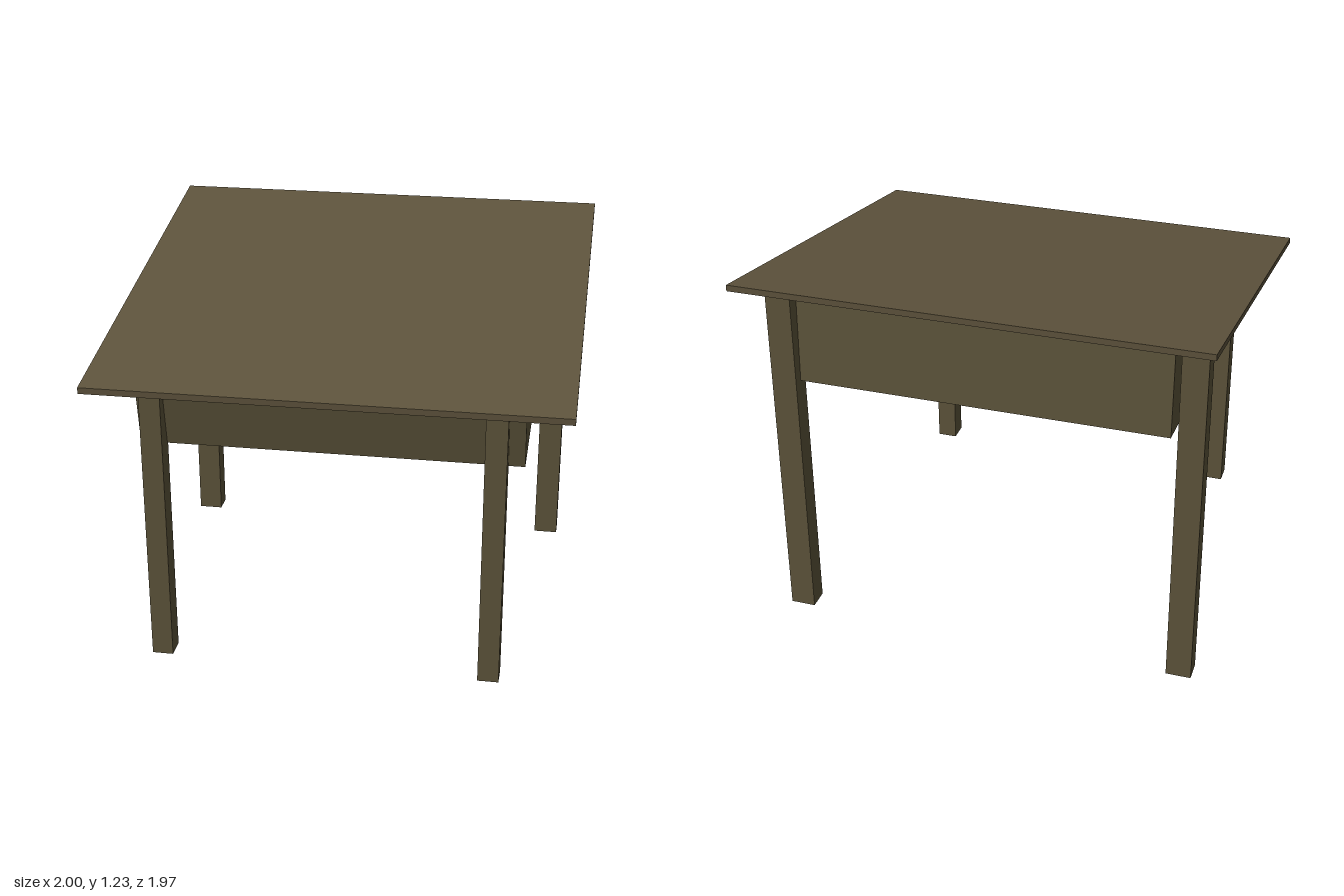
import * as THREE from 'three';

const topWood = new THREE.MeshStandardMaterial({ color: 0x5f543d });
topWood.name = 'top wood';
const frameWood = new THREE.MeshStandardMaterial({ color: 0x5f563c, side: THREE.DoubleSide });
frameWood.name = 'frame wood';

// Height of the sloping underside at depth z
const under = z => 1.0875 - 0.179 * z;

// Solid with a side profile of [z, y] points, spanning x0 to x1
function prism(name, points, x0, x1, material) {
  const shape = new THREE.Shape(points.map(p => new THREE.Vector2(p[0], p[1])));
  const geometry = new THREE.ExtrudeGeometry(shape, { depth: x1 - x0, bevelEnabled: false });
  geometry.rotateY(-Math.PI / 2).translate(x1, 0, 0);
  const mesh = new THREE.Mesh(geometry, material);
  mesh.name = name;
  return mesh;
}

// Upright post cut to the slope of the top
function leg(name, x, z, w, d, foot) {
  const a = z - d / 2, b = z + d / 2;
  return prism(name, [[a, foot], [b, foot], [b, under(b)], [a, under(a)]], x - w / 2, x + w / 2, frameWood);
}

export function createModel() {
  const group = new THREE.Group();
  group.name = 'slantedTable';
  const table = new THREE.Group();
  table.name = 'table';
  table.rotation.y = 0.612;
  group.add(table);

  // Sloping board
  const e = 0.685, t = 0.02;
  table.add(prism('tabletop',
    [[-e, under(-e)], [e, under(e)], [e, under(e) + t], [-e, under(-e) + t]], -0.74, 0.74, topWood));

  // Legs: the back pair is wider set and longer
  table.add(
    leg('backLegRight', -0.663, -0.543, 0.081, 0.068, 0),
    leg('backLegLeft', 0.631, -0.543, 0.081, 0.068, 0),
    leg('frontLegRight', -0.544, 0.575, 0.067, 0.069, 0.035),
    leg('frontLegLeft', 0.511, 0.575, 0.067, 0.069, 0.035));

  // Thin apron panels, deeper at the back
  const h = 0.595, s = 0.004;
  const backTop = [-0.53, under(-0.53)], backLow = [-0.543, 0.853];
  const frontTop = [0.585, under(0.585)], frontLow = [0.548, 0.76];
  const side = [backLow, frontLow, frontTop, backTop];
  table.add(
    prism('sideApronRight', side, -h, -h + s, frameWood),
    prism('sideApronLeft', side, h - s, h, frameWood));
  const inset = (p, d) => [p[0] + d, p[1] - 0.179 * d];
  table.add(
    prism('backApron', [backLow, inset(backLow, s), inset(backTop, s), backTop], -h, h, frameWood),
    prism('frontApron', [inset(frontLow, -s), frontLow, frontTop, inset(frontTop, -s)], -h, h, frameWood));

  return group;
}
